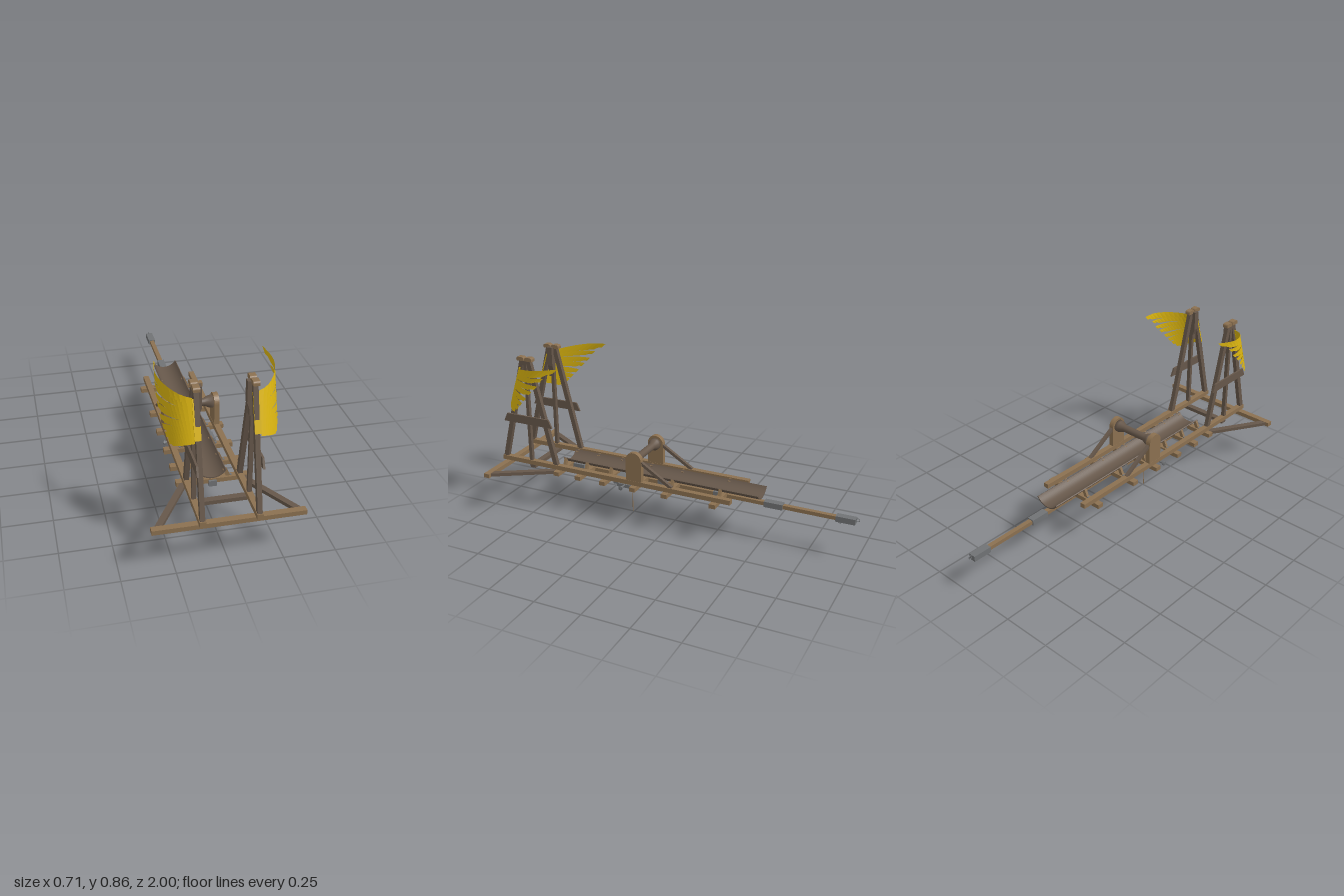
import * as THREE from 'three';

const mat = (color, side = THREE.FrontSide) => new THREE.MeshStandardMaterial({ color, side });
const tan = mat(0x8b7050), wood = mat(0x66574a), iron = mat(0x707274);
const gold = mat(0xd9b310, THREE.DoubleSide);
gold.flatShading = true;

export function createModel() {
  const root = new THREE.Group();
  const add = (name, geo, m, x = 0, y = 0, z = 0, parent = root) => {
    const mesh = new THREE.Mesh(geo, m);
    mesh.name = name;
    mesh.position.set(x, y, z);
    parent.add(mesh);
    return mesh;
  };
  // box given by its extents
  const box = (name, m, x0, x1, y0, y1, z0, z1, parent) =>
    add(name, new THREE.BoxGeometry(x1 - x0, y1 - y0, z1 - z0), m, (x0 + x1) / 2, (y0 + y1) / 2, (z0 + z1) / 2, parent);
  // square timber running from point a to point b
  const beam = (name, m, a, b, w, h, parent = root) => {
    const p = new THREE.Vector3(...a), q = new THREE.Vector3(...b);
    const mesh = add(name, new THREE.BoxGeometry(w, h, p.distanceTo(q)), m, 0, 0, 0, parent);
    mesh.position.copy(p).add(q).multiplyScalar(0.5);
    mesh.quaternion.setFromRotationMatrix(new THREE.Matrix4().lookAt(q, p, new THREE.Vector3(0, 1, 0)));
    return mesh;
  };
  // outline in (z, y) extruded along x from x0 to x1
  const sidePlate = (name, m, shape, x0, x1, parent) => {
    const g = new THREE.ExtrudeGeometry(shape, { depth: x1 - x0, bevelEnabled: false, curveSegments: 10 });
    g.rotateY(-Math.PI / 2);
    return add(name, g, m, x1, 0, 0, parent);
  };
  const polygon = (pts) => new THREE.Shape(pts.map((p) => new THREE.Vector2(...p)));

  // base frame
  box('frontCrossbeam', tan, -0.355, 0.355, 0.212, 0.235, 0.947, 0.98);
  const ties = [-0.285, -0.015, 0.17, 0.35, 0.5, 0.635];
  for (const z of ties) box('crossTie', tan, -0.175, 0.175, 0.212, 0.235, z - 0.017, z + 0.017);
  box('towerTie', wood, -0.14, 0.14, 0.216, 0.236, 0.79, 0.822);

  // trough, a slice of a ring drawn out lengthwise
  const arc = new THREE.Shape();
  const mid = -Math.PI / 2, half = 1.01;
  arc.absarc(0, 0.317, 0.08, mid - half, mid + half, false);
  arc.absarc(0, 0.317, 0.074, mid + half, mid - half, true);
  add('trough', new THREE.ExtrudeGeometry(arc, { depth: 1.14, bevelEnabled: false, curveSegments: 20 }), wood, 0, 0, -0.49);

  // everything mirrored left and right
  for (const s of [1, -1]) {
    const side = new THREE.Group();
    side.name = s > 0 ? 'leftSide' : 'rightSide';
    root.add(side);
    const xs = (a, b) => (s > 0 ? [a, b] : [-b, -a]);

    box('rail', tan, ...xs(0.116, 0.145), 0.235, 0.26, -0.37, 0.998, side);
    beam('diagonalBrace', wood, [s * 0.135, 0.224, 0.64], [s * 0.325, 0.224, 0.955], 0.03, 0.018, side);
    for (const z of ties) {
      beam('troughStrut', tan, [s * 0.079, 0.234, z], [s * 0.062, 0.272, z], 0.014, 0.02, side);
      add('tieBolt', new THREE.CylinderGeometry(0.008, 0.008, 0.03, 8), iron, s * 0.09, 0.224, z, side);
    }

    // tower
    beam('frontLeg', wood, [s * 0.13, 0.25, 0.982], [s * 0.13, 0.84, 0.832], 0.023, 0.026, side);
    beam('rearLeg', wood, [s * 0.13, 0.25, 0.655], [s * 0.13, 0.84, 0.797], 0.023, 0.026, side);
    box('centrePost', wood, ...xs(0.12, 0.141), 0.222, 0.835, 0.806, 0.824, side);
    sidePlate('towerPlank', wood, polygon([[0.662, 0.475], [0.966, 0.475], [0.945, 0.521], [0.683, 0.521]]), ...xs(0.142, 0.152), side);
    for (const z of [0.84, 0.79]) {
      const cap = new THREE.Shape();
      cap.moveTo(z - 0.022, 0.832);
      cap.lineTo(z + 0.022, 0.832);
      cap.lineTo(z + 0.022, 0.843);
      cap.quadraticCurveTo(z + 0.02, 0.853, z + 0.01, 0.853);
      cap.lineTo(z - 0.01, 0.853);
      cap.quadraticCurveTo(z - 0.02, 0.853, z - 0.022, 0.843);
      sidePlate('towerCap', tan, cap, ...xs(0.115, 0.146), side);
    }
    // inner bearing board, narrowing toward its foot
    const board = new THREE.ExtrudeGeometry(polygon([[0.1, 0.84], [0.1, 0.735], [0.112, 0.7], [0.112, 0.67], [0.12, 0.67], [0.12, 0.84]]
      .map(([x, y]) => [s * x, y])), { depth: 0.03, bevelEnabled: false });
    add('bearingBoard', board, wood, 0, 0, 0.8, side);

    // roller stand
    const stand = new THREE.Shape();
    stand.moveTo(0.13, 0.236);
    stand.lineTo(0.22, 0.236);
    stand.lineTo(0.22, 0.375);
    stand.absarc(0.175, 0.375, 0.045, 0, Math.PI, false);
    sidePlate('rollerStand', tan, stand, ...xs(0.117, 0.144), side);
    beam('rollerBrace', wood, [s * 0.13, 0.37, 0.14], [s * 0.13, 0.258, -0.04], 0.018, 0.016, side);

    side.add(makeWing(s));

    // winch ends
    const axle = add('winchAxle', new THREE.CylinderGeometry(0.005, 0.005, 0.07, 8), iron, s * 0.122, 0.207, 0.25, side);
    axle.rotation.z = Math.PI / 2;
    const knob = add('winchKnob', new THREE.CylinderGeometry(0.012, 0.012, 0.008, 10), iron, s * 0.15, 0.207, 0.25, side);
    knob.rotation.z = Math.PI / 2;
    box('winchLug', iron, ...xs(0.09, 0.11), 0.2, 0.212, 0.21, 0.29, side);
  }

  // waisted roller between the stands
  const profile = [[0, -0.12], [0.033, -0.12], [0.033, -0.098], [0.02, -0.07], [0.02, 0.07], [0.033, 0.098], [0.033, 0.12], [0, 0.12]];
  const roller = new THREE.LatheGeometry(profile.map((p) => new THREE.Vector2(...p)), 20);
  add('roller', roller, wood, 0, 0.375, 0.175).rotation.z = Math.PI / 2;

  // central pole with iron sleeves
  box('pole', tan, -0.012, 0.012, 0.204, 0.224, -0.96, 0.62);
  for (const [z0, z1] of [[-0.98, -0.88], [-0.605, -0.505], [-0.285, -0.225], [0.04, 0.095], [0.55, 0.662]])
    box('poleSleeve', iron, -0.019, 0.019, 0.199, 0.229, z0, z1);
  const ring = add('poleRing', new THREE.TorusGeometry(0.008, 0.002, 6, 14), iron, 0, 0.222, -0.989);
  ring.rotation.y = Math.PI / 2;
  add('poleHook', new THREE.TorusGeometry(0.007, 0.002, 6, 14), iron, 0, 0.193, -0.9).rotation.y = Math.PI / 2;

  // winch housing and hanging cord
  box('winchHousing', iron, -0.094, 0.094, 0.197, 0.212, 0.195, 0.325);
  box('winchBase', iron, -0.094, 0.094, 0.184, 0.199, 0.217, 0.303);
  box('winchTop', iron, -0.094, 0.094, 0.212, 0.239, 0.205, 0.315);
  add('cord', new THREE.CylinderGeometry(0.002, 0.002, 0.19, 6), tan, 0, 0.095, 0.258);
  add('cordEye', new THREE.CylinderGeometry(0.008, 0.008, 0.03, 10), iron, 0, 0.197, 0.258).rotation.z = Math.PI / 2;
  return root;
}

// fan of feathers following one curved plan line, raked with the tower leg
function makeWing(s) {
  const wing = new THREE.Group();
  wing.name = 'wing';
  const plan = new THREE.CatmullRomCurve3([[0.118, 0.843], [0.15, 0.84], [0.2, 0.812], [0.25, 0.74], [0.27, 0.66], [0.25, 0.56]]
    .map(([x, z]) => new THREE.Vector3(x, 0, z)));
  const tipY = [0.838, 0.785, 0.74, 0.705, 0.663, 0.63, 0.603, 0.583];
  const reach = [1, 0.83, 0.77, 0.7, 0.63, 0.57, 0.52, 0.46];
  const n = tipY.length, steps = 12, start = 0.08;
  tipY.forEach((ty, i) => {
    const pos = [], idx = [];
    const rootY = 0.785 - (i * 0.165) / (n - 1);
    for (let j = 0; j <= steps; j++) {
      const t = j / steps;
      const mid = rootY + (ty - rootY) * Math.pow(t, 1.25);
      const halfWidth = 0.0125 + (i === 0 ? 0.008 : 0.002) * Math.sin(t * Math.PI * 0.8);
      const end = t > 0.9 ? 0.5 : 1;
      for (const k of [1, -1]) {
        // lower corner of the tip is cut back
        const u = start + (reach[i] - start) * t * (k < 0 ? 0.94 : 1);
        const p = plan.getPointAt(Math.min(u, 1));
        const y = mid + k * halfWidth * (k < 0 ? end : 1);
        pos.push(s * p.x, y, p.z + 0.33 * (0.8 - y));
      }
      if (j < steps) {
        const a = j * 2;
        idx.push(a, a + 1, a + 2, a + 2, a + 1, a + 3);
      }
    }
    const g = new THREE.BufferGeometry();
    g.setAttribute('position', new THREE.Float32BufferAttribute(pos, 3));
    g.setIndex(idx);
    g.computeVertexNormals();
    const feather = new THREE.Mesh(g, gold);
    feather.name = 'feather';
    wing.add(feather);
  });
  // solid root strip that joins the feathers
  const strip = new THREE.Mesh(new THREE.BoxGeometry(0.03, 0.185, 0.006), gold);
  strip.name = 'wingRoot';
  strip.position.set(s * 0.133, 0.707, 0.874);
  strip.rotation.x = -Math.atan(0.33);
  wing.add(strip);
  return wing;
}
